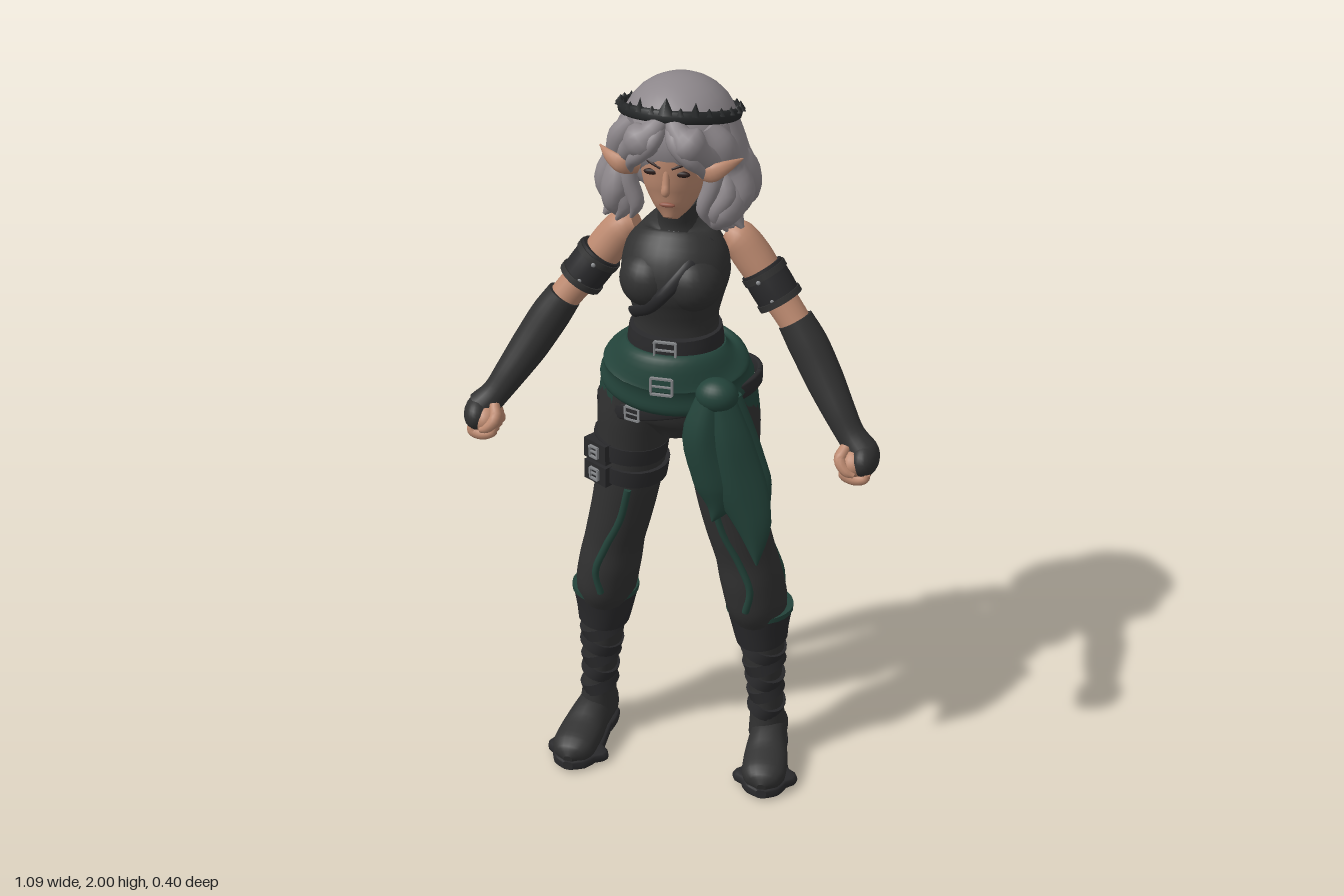
import * as THREE from 'three';

const mat = (name, color, side = THREE.FrontSide) => {
  const m = new THREE.MeshStandardMaterial({ color, side });
  m.name = name;
  return m;
};
const M = {
  cloth: mat('charcoal cloth', 0x313131),
  leather: mat('black leather', 0x29292b),
  green: mat('forest green cloth', 0x23433a, THREE.DoubleSide),
  skin: mat('skin', 0xbd8a70),
  hair: mat('silver hair', 0x8d878b),
  crown: mat('dark iron', 0x262829),
  metal: mat('steel', 0x85878a),
  eye: mat('eye', 0x2a1c1a),
  lip: mat('lips', 0x935848),
};

// Sweeps an elliptical section through points [x, y, z, ru, rv]; p < 1 squares the section, p > 1 pinches it, arc leaves it open
function sweep(pts, { ref = [0, 0, 1], n = 20, steps = 4, p = 1, arc = null } = {}) {
  const path = new THREE.CatmullRomCurve3(pts.map(q => new THREE.Vector3(q[0], q[1], q[2])));
  const radii = new THREE.CatmullRomCurve3(pts.map(q => new THREE.Vector3(q[3], q[4] ?? q[3], 0)));
  const R = new THREE.Vector3(...ref), rows = (pts.length - 1) * steps;
  const [a0, a1] = arc || [0, Math.PI * 2];
  const pos = [], idx = [], bend = c => Math.sign(c) * Math.abs(c) ** p;
  for (let i = 0; i <= rows; i++) {
    const t = i / rows, c = path.getPoint(t), T = path.getTangent(t), r = radii.getPoint(t);
    const u = T.clone().cross(R).normalize(), v = T.clone().cross(u);
    for (let j = 0; j < n + (arc ? 1 : 0); j++) {
      const a = a0 + (a1 - a0) * j / n;
      const q = c.clone().addScaledVector(u, bend(Math.cos(a)) * r.x).addScaledVector(v, bend(Math.sin(a)) * r.y);
      pos.push(q.x, q.y, q.z);
    }
  }
  const w = arc ? n + 1 : n;
  for (let i = 0; i < rows; i++) for (let j = 0; j < n; j++) {
    const a = i * w + j, b = i * w + (j + 1) % w;
    idx.push(a, b, b + w, a, b + w, a + w);
  }
  if (!arc) for (const end of [0, rows]) {
    const s = pos.length / 3, c = path.getPoint(end / rows);
    for (let j = 0; j < n * 3; j++) pos.push(pos[end * n * 3 + j]);
    pos.push(c.x, c.y, c.z);
    for (let j = 0; j < n; j++) {
      const k = (j + 1) % n;
      end ? idx.push(s + j, s + k, s + n) : idx.push(s + k, s + j, s + n);
    }
  }
  const g = new THREE.BufferGeometry();
  g.setAttribute('position', new THREE.Float32BufferAttribute(pos, 3));
  g.setIndex(idx);
  g.computeVertexNormals();
  return g;
}

export function createModel() {
  const model = new THREE.Group();
  model.name = 'elfAdventurer';
  const add = (name, geo, m, parent = model) => {
    const mesh = new THREE.Mesh(geo, m);
    mesh.name = name;
    parent.add(mesh);
    return mesh;
  };
  const tube = (name, pts, m, opt) => add(name, sweep(pts, opt), m);
  const ball = (name, c, r, m) => {
    const b = add(name, new THREE.SphereGeometry(1, 24, 16), m);
    b.position.set(...c);
    b.scale.set(...r);
    return b;
  };
  const box = (name, c, s, m, ry = 0) => {
    const b = add(name, new THREE.BoxGeometry(...s), m);
    b.position.set(...c);
    b.rotation.y = ry;
    return b;
  };
  const flip = (pts, s) => pts.map(([x, ...rest]) => [x * s, ...rest]);
  const UP = [0, 1, 0];
  // Rectangular buckle frame with a tongue
  const buckle = (x, y, z, w, h, ry = 0) => {
    const g = new THREE.Group();
    g.name = 'buckle';
    for (const s of [-1, 1]) {
      add('buckleBar', new THREE.BoxGeometry(w, 0.005, 0.008), M.metal, g).position.y = s * h / 2;
      add('buckleSide', new THREE.BoxGeometry(0.005, h, 0.008), M.metal, g).position.x = s * w / 2;
    }
    add('buckleTongue', new THREE.BoxGeometry(w, 0.004, 0.006), M.metal, g);
    g.position.set(x, y, z);
    g.rotation.y = ry;
    model.add(g);
  };

  // Torso and collar
  tube('torso', [[0, 1.28, 0.025, 0.118, 0.1], [0, 1.37, 0.028, 0.108, 0.092], [0, 1.44, 0.03, 0.122, 0.106],
    [0, 1.5, 0.032, 0.138, 0.116], [0, 1.56, 0.008, 0.13, 0.102], [0, 1.61, -0.01, 0.092, 0.08], [0, 1.64, -0.005, 0.05, 0.055]], M.cloth, { n: 32 });
  tube('collar', [[0, 1.59, 0, 0.066, 0.068], [0, 1.635, 0.005, 0.051, 0.054], [0, 1.685, 0.015, 0.05, 0.053]], M.cloth);
  for (const s of [-1, 1]) ball('bust', [s * 0.055, 1.495, 0.079], [0.076, 0.075, 0.077], M.cloth);
  tube('chestStrap', [[0.09, 1.6, 0.045, 0.017, 0.007], [0.06, 1.56, 0.112, 0.017, 0.007], [0.015, 1.505, 0.147, 0.017, 0.009],
    [-0.04, 1.44, 0.133, 0.017, 0.009], [-0.1, 1.39, 0.075, 0.017, 0.009]], M.leather);
  box('collarClasp', [0, 1.615, 0.066], [0.035, 0.006, 0.008], M.metal);

  // Pelvis, belts, sash and skirt
  tube('pelvis', [[0, 1.04, 0, 0.06, 0.08], [0, 1.1, 0, 0.165, 0.115], [0, 1.2, 0.01, 0.18, 0.13], [0, 1.28, 0.02, 0.13, 0.11]], M.cloth, { n: 32 });
  tube('waistBelt', [[0, 1.3, 0.03, 0.124, 0.115], [0, 1.325, 0.03, 0.122, 0.114], [0, 1.35, 0.03, 0.118, 0.112]], M.leather, { n: 32 });
  buckle(0, 1.328, 0.147, 0.055, 0.045);
  tube('sash', [[0, 1.185, 0.012, 0.188, 0.142], [0, 1.205, 0.018, 0.2, 0.158], [0, 1.235, 0.025, 0.188, 0.15],
    [0, 1.25, 0.027, 0.188, 0.155], [0, 1.28, 0.032, 0.155, 0.142], [0, 1.305, 0.03, 0.128, 0.117]], M.green, { n: 40 });
  buckle(0, 1.245, 0.185, 0.055, 0.045);
  tube('upperSkirt', [[0, 1.1, -0.008, 0.21, 0.154], [0, 1.15, 0, 0.206, 0.155], [0, 1.2, 0.01, 0.196, 0.154]], M.green,
    { arc: [-0.75, Math.PI + 0.75], n: 36 });
  tube('lowerSkirt', [[0, 1.02, -0.02, 0.208, 0.128], [0, 1.08, -0.012, 0.208, 0.142], [0, 1.14, 0, 0.202, 0.145]], M.green,
    { arc: [-0.35, Math.PI + 0.35], n: 36 });
  const hipRing = [];
  for (let i = 0; i <= 24; i++) {
    const a = i / 24 * Math.PI * 2, x = Math.cos(a);
    hipRing.push([x * 0.209, 1.15 + x * 0.05, -0.01 + Math.sin(a) * 0.15, 0.008, 0.022]);
  }
  tube('hipBelt', hipRing, M.leather, { ref: UP, n: 10, steps: 2, p: 0.6 });
  buckle(-0.09, 1.128, 0.132, 0.04, 0.035, -0.3);

  // Knot with hanging pointed tails
  ball('sashKnot', [0.135, 1.222, 0.15], [0.055, 0.045, 0.045], M.green);
  for (const t of [
    [[0.14, 1.22, 0.15, 0.04, 0.03], [0.165, 1.1, 0.15, 0.062, 0.045], [0.195, 0.97, 0.15, 0.072, 0.04], [0.232, 0.86, 0.155, 0.05, 0.025], [0.245, 0.74, 0.16, 0.003, 0.003]],
    [[0.12, 1.22, 0.16, 0.035, 0.025], [0.105, 1.1, 0.16, 0.058, 0.04], [0.135, 0.97, 0.155, 0.06, 0.032], [0.14, 0.9, 0.15, 0.035, 0.018], [0.125, 0.85, 0.15, 0.003, 0.003]],
    [[0.16, 1.21, 0.13, 0.035, 0.03], [0.19, 1.1, 0.125, 0.045, 0.04], [0.23, 0.98, 0.13, 0.045, 0.03], [0.27, 0.89, 0.14, 0.004, 0.004]],
  ]) tube('sashTail', t, M.green, { n: 16, p: 1.3 });

  // Legs and boots
  const leg = [[0.1, 1.16, 0, 0.1, 0.12], [0.113, 1.08, 0, 0.1, 0.115], [0.122, 0.98, 0.003, 0.092, 0.101], [0.133, 0.88, 0.004, 0.087, 0.095],
    [0.152, 0.78, 0, 0.083, 0.088], [0.176, 0.68, -0.012, 0.08, 0.088], [0.192, 0.6, -0.02, 0.083, 0.097],
    [0.205, 0.53, -0.028, 0.083, 0.098], [0.215, 0.46, -0.04, 0.073, 0.08], [0.22, 0.41, -0.045, 0.06, 0.07]];
  const stripe = (s, angles) => flip(angles.map((a, i) => {
    const [x, y, z, rx, rz] = leg[i + 3];
    return [x + rx * Math.cos(a), y, z + rz * Math.sin(a), 0.01];
  }), s);
  for (const s of [-1, 1]) {
    tube('trouserLeg', flip(leg, s), M.cloth, { n: 24 });
    tube('frontStripe', stripe(s, [1.8, 1.75, 1.5, 1.35, 1.65]), M.green, { n: 8 });
    tube('backStripe', stripe(s, [-0.9, -1, -0.9, -0.6, -0.8]), M.green, { n: 8 });
    tube('bootShaft', flip([[0.222, 0.43, -0.045, 0.062, 0.07], [0.226, 0.33, -0.046, 0.056, 0.067], [0.232, 0.24, -0.045, 0.045, 0.06],
      [0.238, 0.16, -0.045, 0.045, 0.062], [0.242, 0.08, -0.045, 0.052, 0.07]], s), M.cloth);
    tube('bootCuff', flip([[0.221, 0.385, -0.044, 0.07, 0.077], [0.217, 0.43, -0.042, 0.078, 0.081], [0.214, 0.49, -0.04, 0.09, 0.088]], s), M.leather, { n: 24 });
    tube('cuffTrim', flip([[0.214, 0.482, -0.04, 0.091, 0.09], [0.214, 0.496, -0.04, 0.091, 0.09]], s), M.green, { n: 24 });
    // Wrapped straps round the shaft
    [[0.355, 0.061, 0.071], [0.31, 0.058, 0.069], [0.265, 0.053, 0.066], [0.22, 0.05, 0.064], [0.17, 0.05, 0.067]].forEach(([y, rx, rz], i) => {
      const d = i % 2 ? 0.006 : -0.006, x = 0.238 - (y - 0.15) * 0.06;
      tube('bootWrap', flip([[x + d, y - 0.016, -0.045, rx, rz], [x - d, y + 0.016, -0.045, rx, rz]], s), M.leather, { steps: 2 });
    });
    tube('bootFoot', flip([[0.24, 0.06, -0.122, 0.025, 0.035], [0.242, 0.07, -0.09, 0.048, 0.055], [0.25, 0.075, -0.01, 0.05, 0.062],
      [0.26, 0.062, 0.065, 0.06, 0.048], [0.267, 0.052, 0.125, 0.06, 0.042], [0.27, 0.045, 0.155, 0.045, 0.032], [0.271, 0.04, 0.173, 0.012, 0.012]], s), M.cloth, { ref: UP, p: 0.9 });
    tube('bootHeel', flip([[0.24, 0.016, -0.127, 0.022, 0.016], [0.241, 0.016, -0.11, 0.044, 0.016], [0.244, 0.016, -0.07, 0.05, 0.016],
      [0.247, 0.016, -0.03, 0.048, 0.016]], s), M.leather, { ref: UP, p: 0.5 });
    tube('bootSole', flip([[0.246, 0.022, -0.04, 0.046, 0.012], [0.25, 0.017, 0, 0.051, 0.015], [0.26, 0.016, 0.06, 0.063, 0.016],
      [0.267, 0.016, 0.12, 0.063, 0.016], [0.27, 0.018, 0.155, 0.047, 0.016], [0.271, 0.02, 0.177, 0.014, 0.012]], s), M.leather, { ref: UP, p: 0.5 });
  }
  // Thigh straps with pouches on one side
  for (const y of [0.98, 0.915]) {
    tube('thighStrap', [[-0.129, y - 0.023, 0.003, 0.097, 0.105], [-0.124, y + 0.023, 0.003, 0.099, 0.108]], M.leather, { n: 24, steps: 2 });
    box('thighPouch', [-0.19, y, 0.074], [0.08, 0.055, 0.045], M.leather, -0.55);
    buckle(-0.203, y, 0.096, 0.028, 0.03, -0.55);
  }

  // Arms, bands, gloves and fists
  for (const s of [-1, 1]) {
    tube('upperArm', flip([[0.115, 1.59, -0.03, 0.03], [0.145, 1.575, -0.03, 0.047], [0.185, 1.525, -0.03, 0.05], [0.235, 1.455, -0.02, 0.044],
      [0.29, 1.385, -0.005, 0.041], [0.33, 1.33, 0.01, 0.04]], s), M.skin);
    tube('armBand', flip([[0.206, 1.5, -0.026, 0.056], [0.233, 1.461, -0.019, 0.057], [0.262, 1.42, -0.012, 0.055]], s), M.leather);
    for (const [x, y, z] of [[0.21, 1.495, -0.025], [0.252, 1.434, -0.014]])
      tube('armBandRim', flip([[x, y, z, 0.06], [x + 0.009, y - 0.0135, z + 0.002, 0.06]], s), M.cloth, { steps: 2 });
    for (const d of [-0.018, 0.018]) ball('stud', [s * (0.23 + d), 1.465 - d * 1.3, 0.038], [0.006, 0.006, 0.004], M.metal);
    tube('glove', flip([[0.3, 1.378, 0, 0.046], [0.34, 1.315, 0.012, 0.051], [0.385, 1.24, 0.035, 0.049], [0.43, 1.17, 0.065, 0.042],
      [0.465, 1.118, 0.085, 0.037], [0.5, 1.08, 0.1, 0.042]], s), M.cloth);
    ball('gloveHand', [s * 0.506, 1.066, 0.104], [0.038, 0.046, 0.061], M.cloth);
    ball('palm', [s * 0.482, 1.058, 0.108], [0.04, 0.042, 0.055], M.skin);
    for (let i = 0; i < 4; i++) {
      const z = 0.07 + i * 0.025;
      tube('finger', flip([[0.52, 1.043, z, 0.009], [0.513, 1.027, z, 0.013], [0.486, 1.022, z, 0.014], [0.46, 1.034, z, 0.013], [0.464, 1.052, z, 0.009]], s), M.skin, { n: 10 });
    }
    tube('thumb', flip([[0.46, 1.1, 0.12, 0.014], [0.45, 1.075, 0.145, 0.016], [0.47, 1.05, 0.157, 0.014], [0.49, 1.042, 0.16, 0.007]], s), M.skin, { n: 10 });
  }

  // Head, face and ears
  tube('head', [[0, 1.664, 0.085, 0.018, 0.02], [0, 1.69, 0.07, 0.045, 0.05], [0, 1.74, 0.05, 0.074, 0.08],
    [0, 1.82, 0.035, 0.088, 0.099], [0, 1.9, 0.03, 0.082, 0.098], [0, 1.95, 0.02, 0.05, 0.06]], M.skin, { n: 28 });
  tube('nose', [[0, 1.81, 0.124, 0.008], [0, 1.775, 0.131, 0.01], [0, 1.755, 0.136, 0.011], [0, 1.745, 0.128, 0.006]], M.skin, { n: 12 });
  ball('mouth', [0, 1.715, 0.121], [0.02, 0.006, 0.006], M.lip);
  for (const s of [-1, 1]) {
    ball('eye', [s * 0.038, 1.8, 0.121], [0.02, 0.008, 0.007], M.eye);
    tube('eyebrow', flip([[0.014, 1.815, 0.131, 0.003], [0.04, 1.825, 0.123, 0.004], [0.065, 1.83, 0.103, 0.002]], s), M.eye, { ref: UP, n: 8 });
    tube('ear', flip([[0.078, 1.8, 0.1, 0.02, 0.012], [0.11, 1.812, 0.126, 0.023, 0.012], [0.145, 1.828, 0.115, 0.016, 0.01], [0.178, 1.838, 0.078, 0.002, 0.002]], s), M.skin, { n: 12 });
  }

  // Hair: cap, inner mass, wavy back locks and parted fringe
  ball('hairCap', [0, 1.865, -0.015], [0.145, 0.135, 0.153], M.hair);
  ball('hairMass', [0, 1.785, -0.055], [0.14, 0.13, 0.108], M.hair);
  const profile = [[0.11, 1.9, 0.05, 0.022], [0.126, 1.85, 0.055, 0.026], [0.135, 1.8, 0.052, 0.032],
    [0.155, 1.745, 0.05, 0.036], [0.152, 1.695, 0.04, 0.034], [0.125, 1.665, 0.025, 0.02], [0.14, 1.64, 0.004, 0.004]];
  for (let i = 0; i < 11; i++) {
    const base = (i - 5) * 0.4, drop = i % 2 ? 0.025 : -0.01;
    tube('hairLock', profile.map(([r, y, ru, rv], k) => {
      const a = base + Math.sin(k * 1.5 + i * 2) * 0.045 * k;
      return [Math.sin(a) * r * 1.07, y + drop * k / 6, -0.01 - Math.cos(a) * r, ru, rv];
    }), M.hair, { ref: [Math.sin(base), 0, -Math.cos(base)], n: 14 });
  }
  for (const s of [-1, 1]) for (const lock of [
    [[0.008, 1.94, 0.115, 0.018], [0.038, 1.905, 0.138, 0.03], [0.08, 1.865, 0.13, 0.03], [0.108, 1.815, 0.085, 0.026], [0.105, 1.76, 0.09, 0.024], [0.085, 1.7, 0.09, 0.02], [0.1, 1.655, 0.085, 0.004]],
    [[0.01, 1.93, 0.122, 0.014], [0.03, 1.89, 0.153, 0.022], [0.062, 1.855, 0.155, 0.021], [0.085, 1.825, 0.138, 0.014], [0.09, 1.795, 0.12, 0.004]],
    [[0.09, 1.915, 0.08, 0.022], [0.125, 1.865, 0.07, 0.034], [0.14, 1.8, 0.045, 0.036], [0.165, 1.74, 0.045, 0.038], [0.15, 1.685, 0.05, 0.03], [0.175, 1.645, 0.06, 0.005]],
    [[0.115, 1.8, 0.06, 0.02], [0.138, 1.74, 0.08, 0.028], [0.115, 1.69, 0.085, 0.024], [0.14, 1.64, 0.075, 0.004]],
  ]) tube('fringeLock', flip(lock, s), M.hair, { n: 14 });

  // Tilted crown with a spiked rim
  const crown = new THREE.Group();
  crown.name = 'crown';
  const ring = [];
  for (let i = 0; i <= 24; i++) {
    const a = i / 24 * Math.PI * 2;
    ring.push([Math.cos(a) * 0.145, 0, Math.sin(a) * 0.153, 0.008, 0.016]);
  }
  add('crownBand', sweep(ring, { ref: UP, n: 8, steps: 2 }), M.crown, crown);
  for (let i = 0; i < 26; i++) {
    const a = Math.PI / 2 + i / 26 * Math.PI * 2, d = Math.min(i, 26 - i);
    const h = d === 0 ? 0.042 : d === 2 ? 0.034 : 0.02;
    const spike = add('crownSpike', new THREE.ConeGeometry(d === 0 ? 0.022 : 0.014, h, 4), M.crown, crown);
    spike.position.set(Math.cos(a) * 0.147, 0.004 + h / 2, Math.sin(a) * 0.155);
    spike.rotation.y = -a;
  }
  crown.position.set(0, 1.913, -0.015);
  crown.rotation.x = -0.25;
  model.add(crown);
  return model;
}
